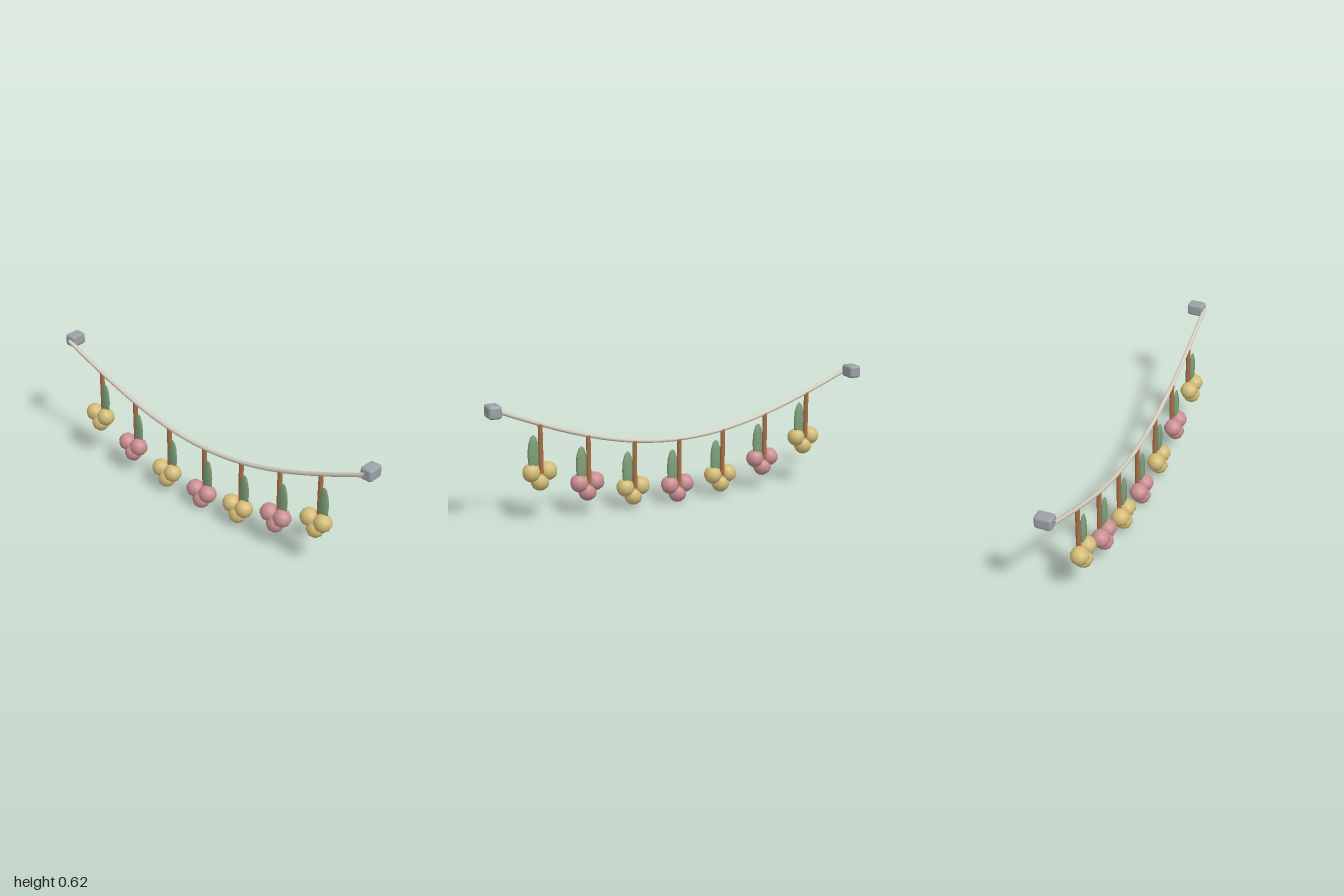
import * as THREE from 'three';
import { RoundedBoxGeometry } from 'three/addons/geometries/RoundedBoxGeometry.js';

const HALF_SPAN = 0.968, END_Y = 0.59, SAG = 0.258, ROPE_Z = 0.01;

const paint = (color, side = THREE.FrontSide) => new THREE.MeshStandardMaterial({ color, side });
const ropeY = (u) => END_Y - SAG * Math.cos(u * Math.PI / 2);

function add(parent, name, geometry, material, x, y, z) {
  const mesh = new THREE.Mesh(geometry, material);
  mesh.name = name;
  mesh.position.set(x, y, z);
  parent.add(mesh);
  return mesh;
}

export function createModel() {
  const model = new THREE.Group();
  model.name = 'garland';

  const bracketMat = paint(0x9ba1a6), ropeMat = paint(0xd6cfc0, THREE.DoubleSide);
  const stemMat = paint(0xa87048), leafMat = paint(0x7da078);
  const berryMats = [paint(0xd4bc78), paint(0xcb8f92)];

  // Sagging rope
  const points = [];
  for (let i = 0; i <= 16; i++) {
    const u = i / 8 - 1;
    points.push(new THREE.Vector3(u * HALF_SPAN, ropeY(u), 0));
  }
  const curve = new THREE.CatmullRomCurve3(points);
  add(model, 'rope', new THREE.TubeGeometry(curve, 48, 0.011, 8), ropeMat, 0, 0, ROPE_Z);

  // Wall brackets at both ends
  const bracketGeo = new RoundedBoxGeometry(0.064, 0.063, 0.086, 2, 0.014);
  for (const side of [-1, 1]) {
    add(model, side > 0 ? 'leftBracket' : 'rightBracket', bracketGeo, bracketMat,
      side * HALF_SPAN, 0.588, -0.034);
  }

  // Seven hanging sprigs, each a stem, a leaf and three berries
  const stemGeo = new THREE.CylinderGeometry(0.012, 0.012, 0.24, 8);
  const leafGeo = new THREE.SphereGeometry(1, 8, 6).scale(0.03, 0.098, 0.0118);
  const berryGeo = new THREE.SphereGeometry(0.046, 10, 7);
  const berrySpots = [[-0.041, -0.239], [0.041, -0.239], [0, -0.286]];

  for (let i = 0; i < 7; i++) {
    const u = (i - 3) / 4;
    const sprig = new THREE.Group();
    sprig.name = 'sprig' + (i + 1);
    sprig.position.set(u * HALF_SPAN, ropeY(u), 0);
    add(sprig, 'stem', stemGeo, stemMat, 0, -0.12, 0.009);
    add(sprig, 'leaf', leafGeo, leafMat, 0.033, -0.15, 0.021);
    for (const [x, y] of berrySpots) add(sprig, 'berry', berryGeo, berryMats[i % 2], x, y, 0.032);
    model.add(sprig);
  }
  return model;
}
